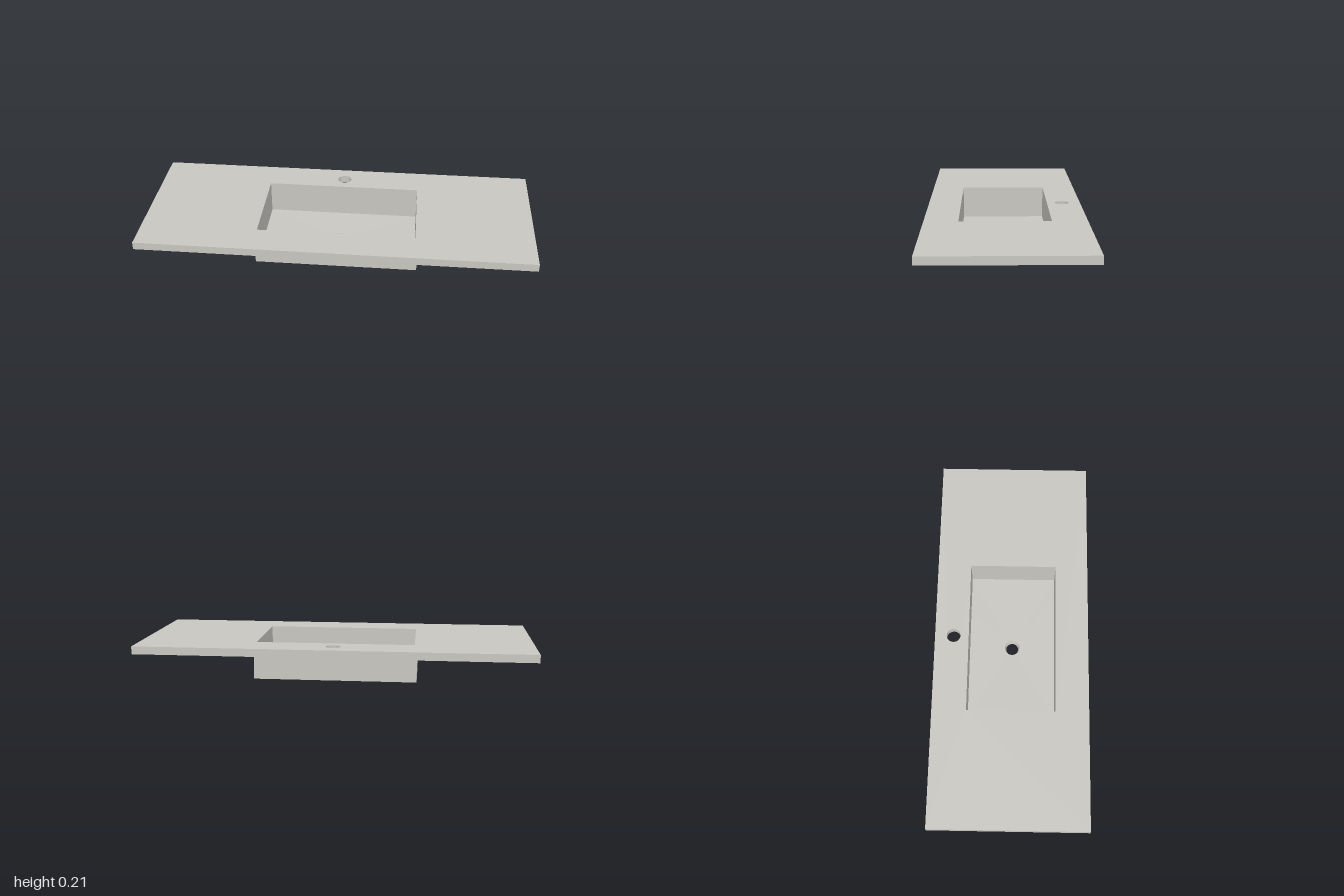
import * as THREE from 'three';
import { toCreasedNormals } from 'three/addons/utils/BufferGeometryUtils.js';

const TOP = 0.206, SLAB_BOTTOM = 0.166, BASIN_BOTTOM = 0.017;
const HALF_X = 0.402, HALF_Z = 0.227;      // inside of the basin
const OUT_X = 0.415, OUT_Z = 0.243;        // outside of the basin
const BASIN_Z = 0.003;
const FLOOR_EDGE = 0.034, FLOOR_CENTRE = 0.026;
const HOLE_R = 0.04, PIPE_R = 0.032, COLLAR_R = 0.059;

function rect(hx, hz, cz = 0, Type = THREE.Shape) {
  return new Type([[-hx, -hz], [hx, -hz], [hx, hz], [-hx, hz]]
    .map(([x, z]) => new THREE.Vector2(x, z + cz)));
}

function circle(r, cz = 0) {
  return new THREE.Path().absarc(0, cz, r, 0, Math.PI * 2, true);
}

// Horizontal plate with holes, hanging down from the given top height
function plate(shape, top, bottom) {
  const geo = new THREE.ExtrudeGeometry(shape, { depth: top - bottom, bevelEnabled: false, curveSegments: 24 });
  geo.rotateX(Math.PI / 2).translate(0, top, 0);
  return toCreasedNormals(geo, 0.6);
}

// Floor falling in four flat facets towards the round drain
function floorGeometry() {
  const steps = 8, outer = [], inner = [];
  const corners = [[HALF_X, -HALF_Z], [HALF_X, HALF_Z], [-HALF_X, HALF_Z], [-HALF_X, -HALF_Z]];
  const height = (x, z) => FLOOR_CENTRE + (FLOOR_EDGE - FLOOR_CENTRE) *
    Math.max(Math.abs(x) / HALF_X, Math.abs(z) / HALF_Z);
  corners.forEach(([ax, az], k) => {
    const [bx, bz] = corners[(k + 1) % 4];
    for (let i = 0; i < steps; i++) {
      const t = i / steps, x = ax + (bx - ax) * t, z = az + (bz - az) * t;
      const s = HOLE_R / Math.hypot(x, z);
      outer.push([x, height(x, z), z]);
      inner.push([x * s, height(x * s, z * s), z * s]);
    }
  });
  const pos = [];
  outer.forEach((o, i) => {
    const j = (i + 1) % outer.length;
    pos.push(...o, ...inner[i], ...outer[j], ...inner[i], ...inner[j], ...outer[j]);
  });
  const geo = new THREE.BufferGeometry();
  geo.setAttribute('position', new THREE.Float32BufferAttribute(pos, 3));
  geo.computeVertexNormals();
  return geo;
}

export function createModel() {
  const model = new THREE.Group();
  model.name = 'washbasin';
  const ceramic = new THREE.MeshStandardMaterial({ color: 0xc8c6c0 });
  ceramic.name = 'ceramic';
  const add = (parent, name, geo) => {
    const mesh = new THREE.Mesh(geo, ceramic);
    mesh.name = name;
    parent.add(mesh);
  };

  // Countertop with basin opening and tap hole
  const top = rect(1, 0.4);
  top.holes.push(rect(HALF_X, HALF_Z, BASIN_Z, THREE.Path), circle(0.036, -0.303));
  add(model, 'countertop', plate(top, TOP, SLAB_BOTTOM));

  const basin = new THREE.Group();
  basin.name = 'basin';
  basin.position.z = BASIN_Z;
  model.add(basin);

  // Four upright walls
  const walls = rect(OUT_X, OUT_Z);
  walls.holes.push(rect(HALF_X, HALF_Z, 0, THREE.Path));
  add(basin, 'basinWalls', plate(walls, SLAB_BOTTOM, BASIN_BOTTOM));

  // Sloping floor and flat underside
  add(basin, 'basinFloor', floorGeometry());
  const under = rect(HALF_X, HALF_Z);
  under.holes.push(circle(HOLE_R));
  add(basin, 'basinUnderside', new THREE.ShapeGeometry(under, 24)
    .rotateX(Math.PI / 2).translate(0, BASIN_BOTTOM, 0));

  // Drain collar with tapered bore
  const profile = [[HOLE_R, FLOOR_CENTRE + 0.001], [PIPE_R, 0], [COLLAR_R, 0], [COLLAR_R, BASIN_BOTTOM]]
    .map(([r, y]) => new THREE.Vector2(r, y));
  add(basin, 'drainCollar', toCreasedNormals(new THREE.LatheGeometry(profile, 40), 0.6));

  return model;
}
